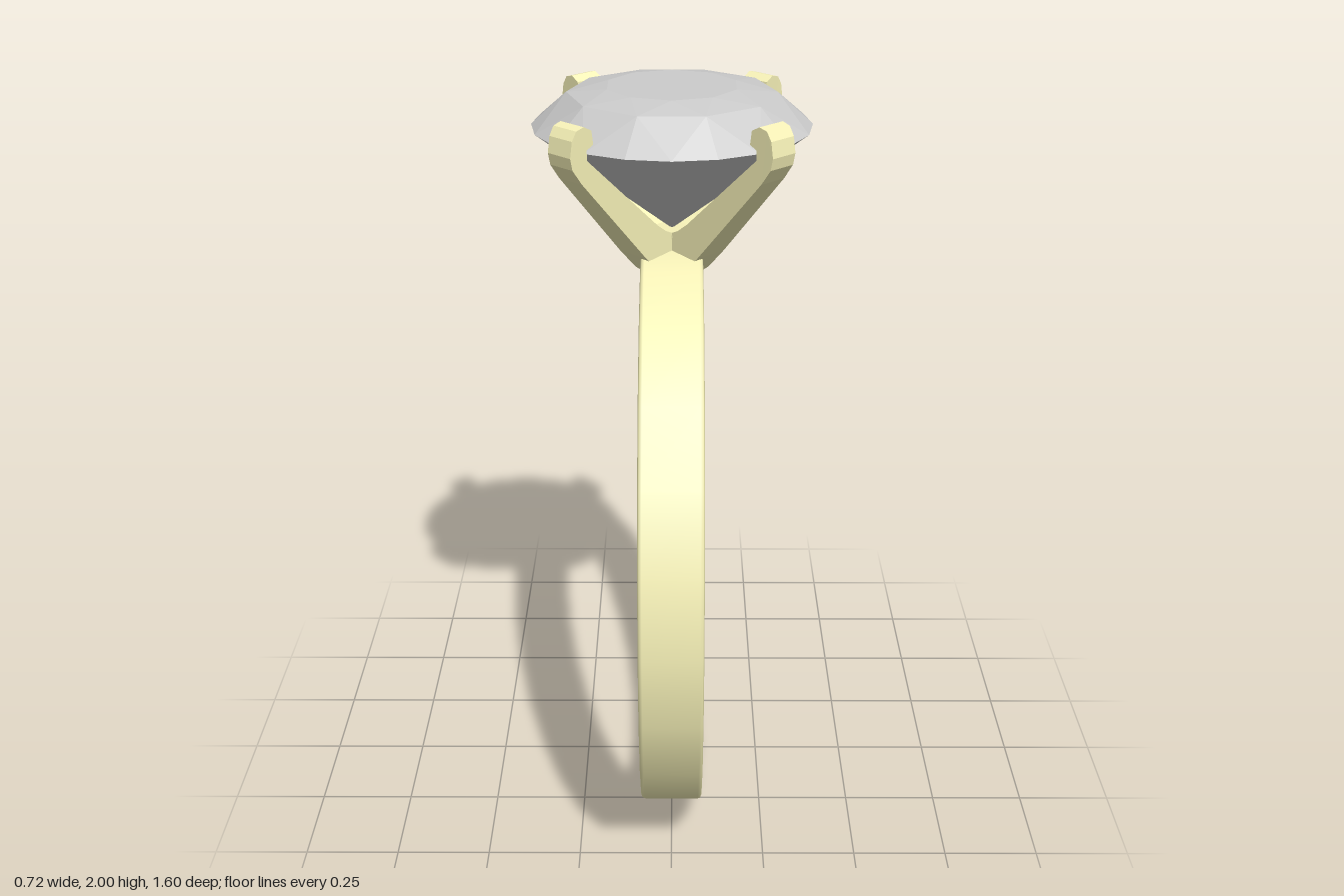
import * as THREE from 'three';
import { ConvexGeometry } from 'three/addons/geometries/ConvexGeometry.js';

const gold = new THREE.MeshStandardMaterial({ color: 0xf7f2b8 });
const stone = new THREE.MeshStandardMaterial({ color: 0xcccccc, flatShading: true });

const points = list => list.map(([x, y]) => new THREE.Vector2(x, y));

function add(parent, name, geometry, material) {
  const mesh = new THREE.Mesh(geometry, material);
  mesh.name = name;
  parent.add(mesh);
  return mesh;
}

// Ring of points around y
function ring(count, radius, y, turn = 0) {
  return Array.from({ length: count }, (_, i) => {
    const a = ((i + turn) / count) * Math.PI * 2;
    return new THREE.Vector3(radius * Math.cos(a), y, radius * Math.sin(a));
  });
}

// Prong side profile in (radius, height), with a hook that grips the stone
const prongProfile = new THREE.Shape(points([
  [0, 1.51], [0.06, 1.51], [0.09, 1.53], [0.15, 1.59], [0.37, 1.83], [0.4, 1.87],
  [0.407, 1.9], [0.4, 1.94], [0.385, 1.962], [0.36, 1.968], [0.335, 1.955],
  [0.33, 1.92], [0.352, 1.91], [0.352, 1.885], [0.11, 1.67], [0.075, 1.645], [0.04, 1.63], [0, 1.625],
]));

// side (+1 or -1) leans the prong towards the z axis
function prongGeometry(side) {
  const width = 0.08;
  const geometry = new THREE.ExtrudeGeometry(prongProfile, { depth: width, bevelEnabled: false });
  geometry.translate(0, 0, -width / 2);
  const p = geometry.attributes.position;
  for (let i = 0; i < p.count; i++) {
    const t = p.getX(i) / 0.4;
    p.setZ(i, p.getZ(i) * (1 + 0.35 * Math.max(0, 1 - t)) + side * 0.028 * t);
  }
  geometry.computeVertexNormals();
  return geometry;
}

export function createModel() {
  const model = new THREE.Group();
  model.name = 'ring';

  // Band: closed section with softened edges, turned around the x axis
  const section = points([
    [0.68, 0], [0.68, -0.07], [0.682, -0.077], [0.69, -0.08], [0.79, -0.08], [0.798, -0.077], [0.8, -0.07],
    [0.8, 0.07], [0.798, 0.077], [0.79, 0.08], [0.69, 0.08], [0.682, 0.077], [0.68, 0.07], [0.68, 0],
  ]);
  const band = new THREE.LatheGeometry(section, 24);
  band.rotateZ(Math.PI / 2).translate(0, 0.8, 0);
  add(model, 'band', band, gold);

  // Setting: tapered base and four prongs
  const setting = new THREE.Group();
  setting.name = 'setting';
  model.add(setting);
  const base = new THREE.CylinderGeometry(0.115, 0.085, 0.12, 4);
  base.rotateY(Math.PI / 4).translate(0, 1.57, 0);
  const baseMesh = add(setting, 'settingBase', base.toNonIndexed(), gold);
  baseMesh.geometry.computeVertexNormals();
  for (let k = 0; k < 4; k++) {
    const prong = add(setting, 'prong', prongGeometry(k % 2 ? -1 : 1), gold);
    prong.rotation.y = -(Math.PI / 4 + (k * Math.PI) / 2);
  }

  // Faceted stone: table, crown, girdle and culet
  add(model, 'gemstone', new ConvexGeometry([
    ...ring(10, 0.17, 2, 0.5),
    ...ring(10, 0.267, 1.982),
    ...ring(20, 0.358, 1.9),
    new THREE.Vector3(0, 1.625, 0),
  ]), stone);

  return model;
}
